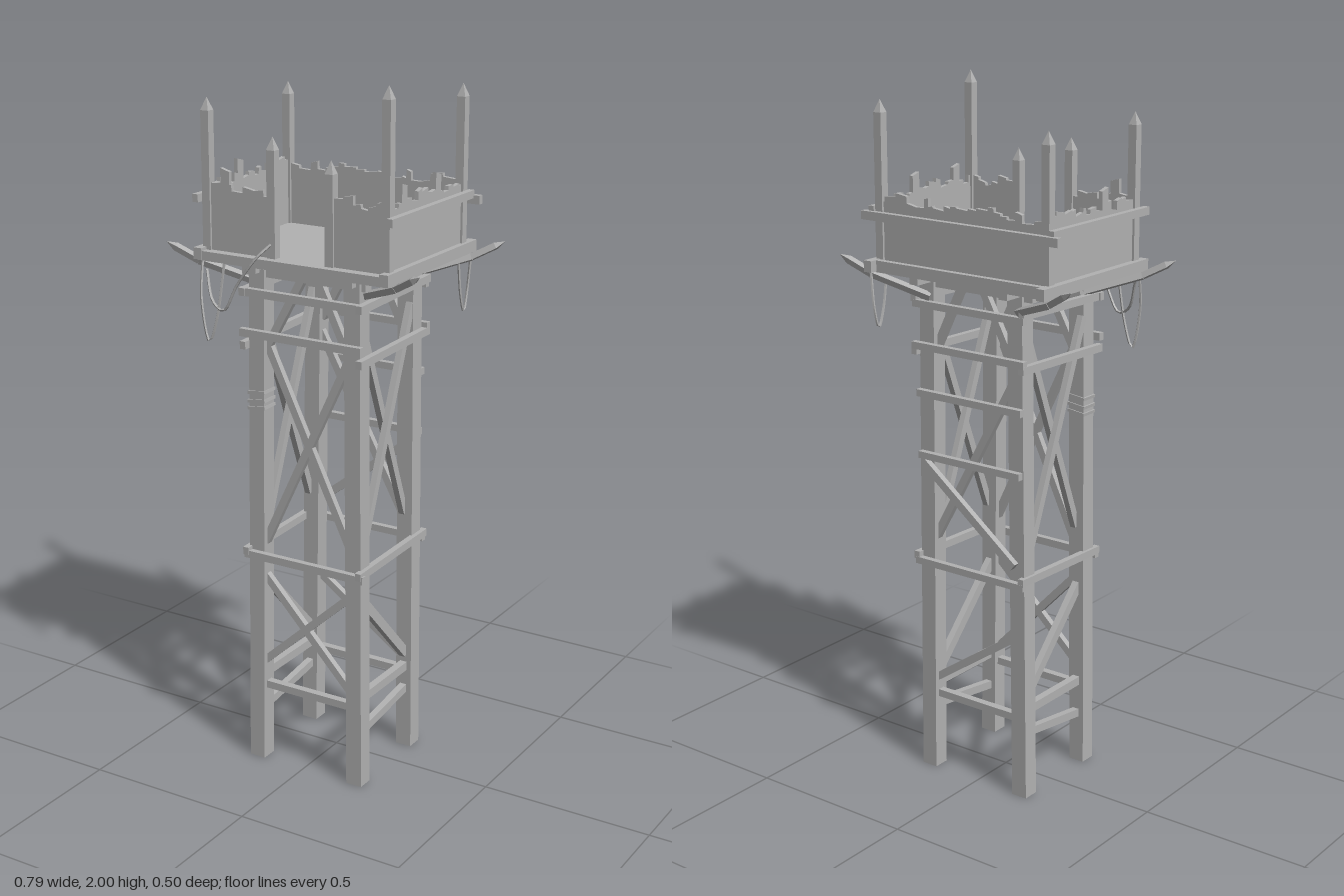
import * as THREE from 'three';

const wood = new THREE.MeshStandardMaterial({ color: 0xb2b2b2 });
wood.name = 'greyWood';
wood.flatShading = true;
wood.side = THREE.DoubleSide;

const V = (p) => new THREE.Vector3(...p);

export function createModel() {
  const model = new THREE.Group();
  model.name = 'watchtower';

  const add = (name, geometry) => {
    const mesh = new THREE.Mesh(geometry, wood);
    mesh.name = name;
    model.add(mesh);
    return mesh;
  };

  // Straight timber between two points
  const beam = (name, a, b, w = 0.022, d = w) => {
    const p = V(a), q = V(b), dir = q.clone().sub(p);
    const mesh = add(name, new THREE.BoxGeometry(w, dir.length(), d));
    mesh.position.copy(p).add(q).multiplyScalar(0.5);
    mesh.quaternion.setFromUnitVectors(new THREE.Vector3(0, 1, 0), dir.normalize());
  };

  // Square pointed end
  const point = (name, pos, dir, w, h) => {
    const tip = add(name, new THREE.ConeGeometry(w * Math.SQRT1_2, h, 4).rotateY(Math.PI / 4).translate(0, h / 2, 0));
    tip.position.copy(V(pos));
    tip.quaternion.setFromUnitVectors(new THREE.Vector3(0, 1, 0), V(dir).normalize());
  };

  const rope = (name, points) => add(name,
    new THREE.TubeGeometry(new THREE.CatmullRomCurve3(points.map(V)), 24, 0.004, 5));

  // Legs lean slightly inward
  for (const z of [0.165, -0.12]) {
    beam('leg', [-0.156, 0, z], [-0.137, 1.475, z], 0.049);
    beam('leg', [0.174, 0, z], [0.163, 1.475, z], 0.049);
  }

  // Rails tying the legs together
  for (const [y, x0, x1] of [[1.41, -0.185, 0.205], [1.295, -0.185, 0.2], [0.645, -0.18, 0.21]])
    beam('frontRail', [x0, y, 0.198], [x1, y, 0.198], 0.022, 0.018);
  for (const [y, x0, x1] of [[1.405, -0.18, 0.2], [1.285, -0.18, 0.205], [1.15, -0.17, 0.19], [0.97, -0.165, 0.185], [0.65, -0.18, 0.2]])
    beam('backRail', [x0, y, -0.154], [x1, y, -0.154], 0.02, 0.018);
  beam('lowFrontRail', [-0.14, 0.235, 0.165], [0.16, 0.235, 0.165]);
  beam('lowBackRail', [-0.14, 0.235, -0.12], [0.16, 0.235, -0.12]);
  for (const y of [1.42, 1.27, 0.665]) {
    beam('leftRail', [0.197, y - 0.01, 0.21], [0.197, y, -0.162], 0.018, 0.022);
    beam('rightRail', [-0.172, y - 0.01, 0.21], [-0.172, y, -0.162], 0.018, 0.022);
  }
  for (const x of [-0.153, 0.172]) {
    beam('lowSideRail', [x, 0.26, 0.15], [x, 0.26, -0.11], 0.022, 0.026);
    beam('footRail', [x, 0.155, 0.15], [x, 0.19, -0.11], 0.02, 0.024);
  }

  // Cross braces on the front and back faces
  const braceXY = (z, list) => list.forEach(([x0, y0, x1, y1]) =>
    beam('crossBrace', [x0, y0, z], [x1, y1, z], 0.022, 0.018));
  braceXY(0.165, [
    [-0.13, 0.68, 0.155, 1.28], [0.16, 0.69, -0.125, 1.28],
    [-0.135, 0.58, 0.16, 0.27], [-0.135, 0.31, 0.16, 0.58],
    [-0.12, 1.25, 0.005, 1.475], [0.15, 1.25, 0.04, 1.475]]);
  braceXY(-0.12, [
    [-0.13, 0.48, 0.16, 0.28], [-0.13, 1.24, 0.155, 0.72],
    [-0.12, 1.27, -0.01, 1.475], [0.15, 1.27, 0.05, 1.475]]);
  beam('backDiagonal', [-0.145, 0.705, -0.154], [0.17, 0.95, -0.154], 0.024, 0.018);

  // Cross braces on the two sides
  for (const x of [-0.147, 0.17]) {
    beam('sideBrace', [x - 0.008, 1.36, 0.145], [x - 0.008, 0.74, -0.1], 0.018, 0.022);
    beam('sideBrace', [x + 0.008, 1.36, -0.1], [x + 0.008, 0.74, 0.145], 0.018, 0.022);
    beam('lowSideBrace', [x, 0.56, 0.15], [x, 0.3, -0.1], 0.02, 0.028);
  }

  // Rope wrapped around the front leg
  for (const y of [1.08, 1.1, 1.125]) {
    const wrap = add('legBinding', new THREE.BoxGeometry(0.056, 0.009, 0.056));
    wrap.position.set(-0.142, y, 0.165);
    wrap.rotation.z = 0.12;
  }

  // Joists under the deck
  for (const z of [0.165, -0.12])
    beam('headJoist', [-0.19, 1.465, z], [0.2, 1.465, z], 0.026, 0.03);
  for (const x of [-0.14, 0.163])
    beam('headJoist', [x, 1.478, 0.21], [x, 1.478, -0.2], 0.028, 0.024);

  // Deck and its edge beams
  add('deck', new THREE.BoxGeometry(0.59, 0.026, 0.46)).position.set(0.003, 1.503, 0.01);
  for (const x of [-0.292, 0.29])
    beam('deckEdgeBeam', [x, 1.508, 0.243], [x, 1.508, -0.243], 0.026, 0.032);

  // Palisade walls with a ragged upper edge
  let seed = 7;
  const rnd = () => (seed = (seed * 16807) % 2147483647) / 2147483647;
  const wall = (name, from, to, tall) => {
    const shape = new THREE.Shape();
    shape.moveTo(from, 1.49);
    shape.lineTo(from, 1.69);
    for (let s = from; s < to - 0.008;) {
      const e = Math.min(to, s + 0.012 + 0.03 * rnd());
      const y = 1.675 + 0.033 * rnd();
      shape.lineTo(s + 0.001, y);
      shape.lineTo(e, y + 0.014 * (rnd() - 0.5));
      s = e;
    }
    shape.lineTo(to, 1.49);
    const mesh = add(name, new THREE.ExtrudeGeometry(shape, { depth: 0.012, bevelEnabled: false }).translate(0, 0, -0.006));
    // Taller broken planks
    for (const s of tall) {
      const g = new THREE.BoxGeometry(0.028, 0.1, 0.012).translate(s, 1.692, 0);
      const p = g.attributes.position;
      for (let i = 0; i < p.count; i++)
        if (p.getY(i) > 1.7 && p.getX(i) > s) p.setY(i, p.getY(i) - 0.008);
      const plank = new THREE.Mesh(g, wood);
      plank.name = 'tallPlank';
      mesh.add(plank);
    }
    return mesh;
  };
  wall('frontWallRight', -0.28, -0.07, [-0.22]).position.z = 0.205;
  wall('frontWallLeft', 0.11, 0.28, []).position.z = 0.205;
  wall('backWall', -0.28, 0.28, []).position.z = -0.19;
  for (const [x, tall] of [[-0.278, [-0.06]], [0.28, [-0.13, 0.05]]]) {
    const side = wall('sideWall', -0.205, 0.19, tall);
    side.rotation.y = Math.PI / 2;
    side.position.x = x;
  }

  // Pointed posts
  for (const [x, z, top] of [[-0.278, 0.205, 1.927], [0.28, 0.205, 2], [-0.278, -0.19, 1.92],
    [0.28, -0.19, 1.957], [-0.07, 0.205, 1.84], [0.11, 0.205, 1.795]]) {
    beam('post', [x, 1.49, z], [x, top - 0.035, z], 0.025);
    point('postTip', [x, top - 0.035, z], [0, 1, 0], 0.025, 0.035);
  }

  // Rails outside the walls
  beam('backWallRail', [-0.328, 1.643, -0.21], [0.33, 1.643, -0.21], 0.024, 0.018);
  beam('backLowRail', [-0.3, 1.508, -0.212], [0.3, 1.508, -0.212], 0.03, 0.018);
  for (const x of [-0.3, 0.303])
    beam('sideWallRail', [x, 1.658, 0.237], [x, 1.658, -0.207], 0.018, 0.022);

  // Sharpened stakes reaching out from under the corners
  for (const [x, y, z] of [[-0.395, 1.53, 0.243], [-0.395, 1.53, -0.253], [0.393, 1.53, 0.236], [0.393, 1.53, -0.24]]) {
    const tip = V([x, y, z]);
    const base = V([Math.sign(x) * 0.15, 1.425, Math.sign(z) * 0.145]);
    const mid = V([x * 0.78, 1.482, z * 0.87]);
    const dir = tip.clone().sub(mid).normalize();
    const neck = tip.clone().addScaledVector(dir, -0.03);
    beam('stake', base.toArray(), mid.toArray(), 0.018);
    beam('stake', mid.toArray(), neck.toArray(), 0.017);
    point('stakeTip', neck.toArray(), dir.toArray(), 0.017, 0.03);
  }

  // Hanging ropes
  rope('frontRope', [[-0.29, 1.5, 0.22], [-0.285, 1.38, 0.238], [-0.26, 1.265, 0.24], [-0.235, 1.33, 0.24], [-0.21, 1.49, 0.235]]);
  rope('postRope', [[-0.285, 1.46, 0.21], [-0.25, 1.38, 0.235], [-0.21, 1.36, 0.243], [-0.16, 1.44, 0.247], [-0.1, 1.52, 0.243], [-0.07, 1.555, 0.218]]);
  rope('backRope', [[0.29, 1.47, -0.165], [0.29, 1.38, -0.18], [0.29, 1.33, -0.2], [0.29, 1.38, -0.217], [0.3, 1.49, -0.218]]);

  return model;
}
